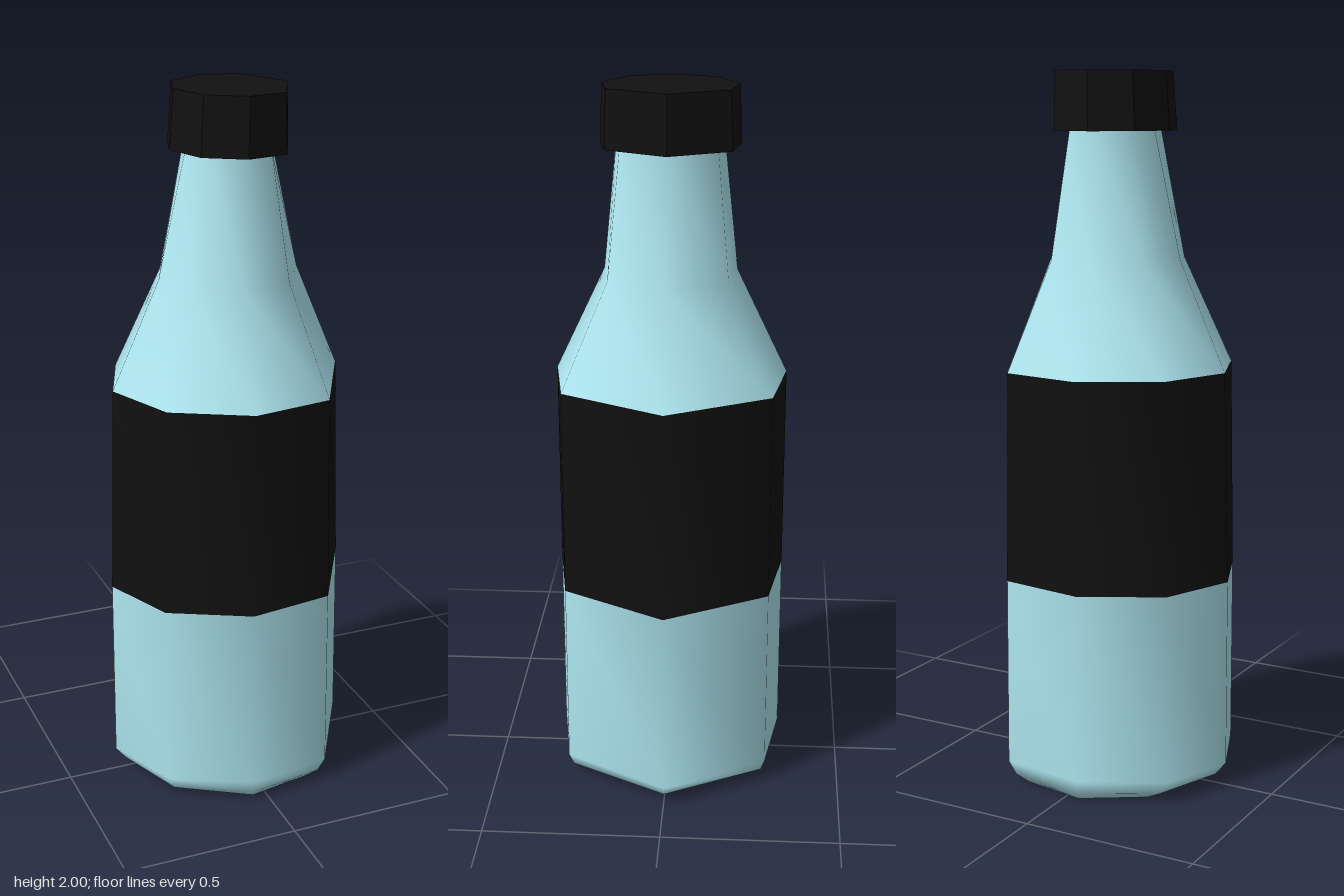
import * as THREE from 'three';

// Irregular eight-sided cross-section, scaled to a half-width of 1, from +x through +z
const half = [[1, 0], [0.54, 0.885], [-0.145, 1], [-0.765, 0.65], [-1, 0]];
const section = [...half, ...half.slice(1, -1).reverse().map(([x, z]) => [x, -z])];
const N = section.length;

// Lofts the section through rings of [y, centre x, half-width x, half-width z]
function loft(rings, closeBottom, closeTop) {
  const pos = [], idx = [];
  for (const [y, cx, rx, rz] of rings)
    for (const [x, z] of section) pos.push(cx + x * rx, y, z * rz);
  for (let r = 0; r < rings.length - 1; r++)
    for (let i = 0; i < N; i++) {
      const a = r * N + i, b = r * N + (i + 1) % N;
      idx.push(a, a + N, b + N, a, b + N, b);
    }
  const close = (r, up) => {
    const c = pos.length / 3;
    pos.push(rings[r][1], rings[r][0], 0);
    for (let i = 0; i < N; i++) {
      const a = r * N + i, b = r * N + (i + 1) % N;
      idx.push(c, up ? b : a, up ? a : b);
    }
  };
  if (closeBottom) close(0, false);
  if (closeTop) close(rings.length - 1, true);
  const geo = new THREE.BufferGeometry();
  geo.setAttribute('position', new THREE.Float32BufferAttribute(pos, 3));
  geo.setIndex(idx);
  geo.computeVertexNormals();
  return geo;
}

export function createModel() {
  const model = new THREE.Group();
  model.name = 'bottle';
  const glass = new THREE.MeshStandardMaterial({ color: 0xafe8f2 });
  const black = new THREE.MeshStandardMaterial({ color: 0x111111 });
  const capMaterial = new THREE.MeshStandardMaterial({ color: 0x111111, flatShading: true });

  const add = (name, geo, material) => {
    const mesh = new THREE.Mesh(geo, material);
    mesh.name = name;
    model.add(mesh);
  };

  const labelBottom = [0.6, -0.001, 0.354, 0.325];
  const labelTop = [1.19, -0.001, 0.337, 0.325];

  // Lower body with a rounded base
  add('lowerBody', loft([
    [0, 0, 0.265, 0.29],
    [0.025, 0, 0.325, 0.312],
    [0.065, 0, 0.357, 0.325],
    labelBottom,
  ], true, false), glass);

  // Label band flush with the body
  add('label', loft([labelBottom, labelTop], false, false), black);

  // Shoulder tapering into the neck
  add('shoulderAndNeck', loft([
    labelTop,
    [1.49, 0.004, 0.204, 0.184],
    [1.845, 0.006, 0.124, 0.147],
  ], false, false), glass);

  // Faceted cap, slightly narrower at the top
  add('cap', loft([
    [1.84, 0.007, 0.171, 0.191],
    [2, 0.011, 0.163, 0.184],
  ], true, true), capMaterial);

  return model;
}
